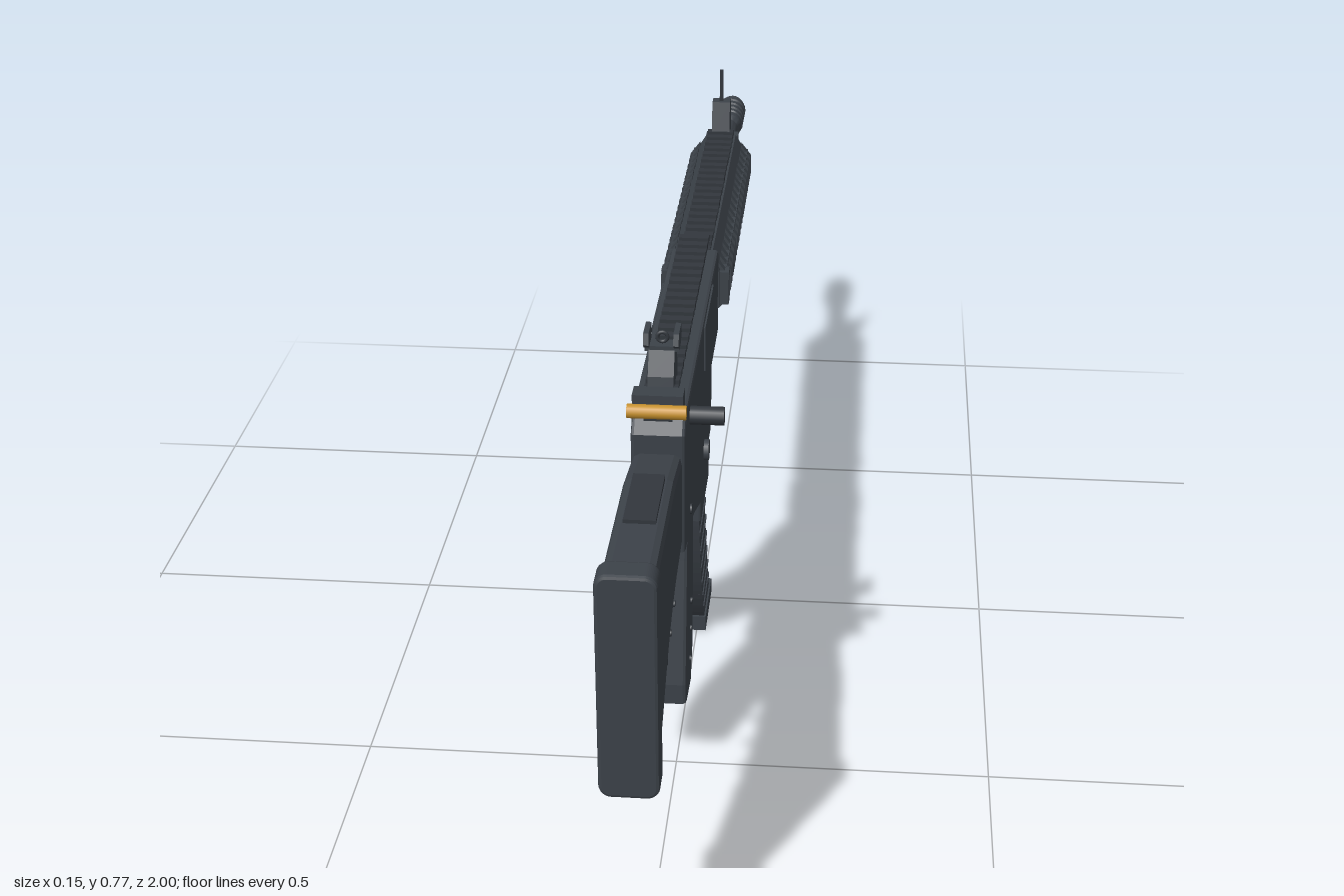
import * as THREE from 'three';
import { toCreasedNormals } from 'three/addons/utils/BufferGeometryUtils.js';

export function createModel() {
  const model = new THREE.Group();
  model.name = 'rifle';
  const body = new THREE.Group();
  body.name = 'rifleBody';
  body.position.x = -0.0165;
  model.add(body);

  const gunmetal = new THREE.MeshStandardMaterial({ color: 0x3c4249 });
  gunmetal.name = 'gunmetal';
  const black = new THREE.MeshStandardMaterial({ color: 0x32373d });
  black.name = 'darkSteel';
  const brass = new THREE.MeshStandardMaterial({ color: 0xc8922f });
  brass.name = 'brass';

  const add = (name, geo, mat = gunmetal, x = 0, y = 0, z = 0) => {
    const m = new THREE.Mesh(geo, mat);
    m.name = name;
    m.position.set(x, y, z);
    body.add(m);
    return m;
  };
  const box = (name, w, h, d, x, y, z, mat) => add(name, new THREE.BoxGeometry(w, h, d), mat, x, y, z);
  const toShape = (pts) => new THREE.Shape(pts.map(([z, y]) => new THREE.Vector2(z, y)));
  // Side profile given as (z, y), extruded across x
  const slab = (name, shape, width, bevel = 0, x = 0, mat = gunmetal) => {
    const depth = width - 2 * bevel;
    const geo = new THREE.ExtrudeGeometry(Array.isArray(shape) ? toShape(shape) : shape, {
      depth, bevelEnabled: bevel > 0, bevelSize: bevel, bevelThickness: bevel,
      bevelOffset: -bevel, bevelSegments: 2, curveSegments: 10,
    });
    geo.translate(0, 0, -depth / 2);
    geo.rotateY(-Math.PI / 2);
    return add(name, geo, mat, x);
  };
  // Cylinder lying across x
  const pin = (name, r, len, x, y, z, mat = gunmetal, sides = 16) =>
    add(name, new THREE.CylinderGeometry(r, r, len, sides).rotateZ(Math.PI / 2), mat, x, y, z);

  // Turned part along the barrel, profile as (radius, distance forward)
  const turned = (name, pts, y, mat) => add(name, toCreasedNormals(
    new THREE.LatheGeometry(pts.map(([r, d]) => new THREE.Vector2(r, d)), 20).rotateX(-Math.PI / 2), 0.6), mat, 0, y, 0);

  // Stock
  const stock = new THREE.Shape();
  stock.moveTo(0.965, 0.635);
  stock.lineTo(0.81, 0.632);
  stock.lineTo(0.70, 0.63);
  stock.lineTo(0.59, 0.61);
  stock.lineTo(0.59, 0.465);
  stock.lineTo(0.69, 0.455);
  stock.quadraticCurveTo(0.79, 0.44, 0.885, 0.365);
  stock.lineTo(0.965, 0.318);
  slab('stock', stock, 0.074, 0.012);
  box('stockNeck', 0.06, 0.10, 0.05, 0, 0.53, 0.585);
  box('cheekPlate', 0.045, 0.008, 0.13, 0, 0.634, 0.765, black);
  [[0.85, 0.38], [0.79, 0.385], [0.73, 0.395], [0.675, 0.41]].forEach(([z, y]) =>
    pin('stockPin', 0.005, 0.066, 0, y, z, black, 8));

  // Butt pad: rounded rectangle facing the rear
  const bw = 0.042, r = 0.018, lo = 0.302, hi = 0.652;
  const pad = new THREE.Shape();
  pad.absarc(bw - r, hi - r, r, 0, Math.PI / 2);
  pad.absarc(-bw + r, hi - r, r, Math.PI / 2, Math.PI);
  pad.absarc(-bw + r, lo + r, r, Math.PI, Math.PI * 1.5);
  pad.absarc(bw - r, lo + r, r, Math.PI * 1.5, Math.PI * 2);
  add('buttPad', new THREE.ExtrudeGeometry(pad, {
    depth: 0.032, bevelThickness: 0.005, bevelSize: 0.005, bevelOffset: -0.005, bevelSegments: 2, curveSegments: 6,
  }), gunmetal, 0, 0, 0.963);

  // Receiver
  slab('receiver', [
    [0.58, 0.44], [0.47, 0.43], [0.41, 0.41], [0.30, 0.365], [0.26, 0.36], [0.26, 0.395], [0.105, 0.395],
    [0.085, 0.41], [0.085, 0.505], [-0.065, 0.505], [-0.065, 0.655], [0.50, 0.66], [0.555, 0.66], [0.58, 0.635],
  ], 0.08, 0.005);
  slab('magazineWell', [[0.262, 0.31], [0.105, 0.31], [0.105, 0.36], [0.09, 0.41], [0.262, 0.41]], 0.074, 0.004);
  [-1, 1].forEach((s) => {
    box('sidePanel', 0.004, 0.075, 0.17, s * 0.0405, 0.615, 0.16);
    pin('receiverPin', 0.008, 0.004, s * 0.041, 0.47, 0.50, black);
  });
  pin('magazineButton', 0.017, 0.012, 0.042, 0.43, 0.235);
  pin('chargingHandle', 0.014, 0.06, 0.061, 0.627, 0.495, black);
  pin('selectorBase', 0.019, 0.01, -0.043, 0.47, 0.385);
  box('selectorLever', 0.008, 0.014, 0.055, -0.049, 0.47, 0.375, brass).rotation.x = 0.12;

  // Top rail with cross teeth
  box('topRail', 0.042, 0.022, 0.63, 0, 0.667, 0.26, black);
  for (let i = 0; i < 21; i++) box('railTooth', 0.05, 0.011, 0.017, 0, 0.682, 0.555 - i * 0.03, black);
  box('rearBracket', 0.074, 0.035, 0.03, 0, 0.682, 0.565);
  pin('crossPin', 0.0105, 0.086, 0, 0.68, 0.592, brass);

  // Rear sight
  slab('rearSightBase', [[0.535, 0.68], [0.465, 0.68], [0.47, 0.705], [0.488, 0.74], [0.512, 0.74], [0.53, 0.705]], 0.038);
  [-1, 1].forEach((s) =>
    slab('rearSightWing', [[0.51, 0.742], [0.49, 0.742], [0.474, 0.753], [0.48, 0.77], [0.52, 0.77], [0.526, 0.753]],
      0.008, 0, s * 0.022));
  box('rearSightBridge', 0.05, 0.008, 0.024, 0, 0.742, 0.50);
  add('rearAperture', new THREE.TorusGeometry(0.0075, 0.003, 8, 16), black, 0, 0.756, 0.50);

  // Handguard: octagonal core with ribbed rails on four sides
  const core = [[0.028, 0.537], [0.042, 0.555], [0.042, 0.62], [0.028, 0.642]];
  const oct = new THREE.Shape([...core, ...core.slice().reverse().map(([x, y]) => [-x, y])]
    .map(([x, y]) => new THREE.Vector2(x, y)));
  add('handguard', new THREE.ExtrudeGeometry(oct, { depth: 0.62, bevelEnabled: false }), gunmetal, 0, 0, -0.67);
  box('handguardTopRail', 0.036, 0.01, 0.61, 0, 0.643, -0.36, black);
  box('handguardBottomRail', 0.036, 0.008, 0.59, 0, 0.538, -0.36, black);
  const ribGeo = new THREE.ExtrudeGeometry(new THREE.Shape([
    [0.04, 0.545], [0.059, 0.567], [0.059, 0.605], [0.04, 0.63],
  ].map(([x, y]) => new THREE.Vector2(x, y))), { depth: 0.015, bevelEnabled: false });
  for (let i = 0; i < 20; i++) {
    const z = -0.075 - i * 0.0305;
    [0, 1].forEach((side) => {
      const rib = add('sideRailRib', ribGeo, gunmetal, 0, 0, side ? z + 0.0075 : z - 0.0075);
      if (side) rib.rotation.y = Math.PI;
    });
    box('topRailTooth', 0.05, 0.011, 0.016, 0, 0.65, z, black);
    box('bottomRailTooth', 0.05, 0.01, 0.016, 0, 0.534, z, black);
  }
  [-1, 1].forEach((s) => {
    [0.56, 0.611].forEach((y) => box('sideRailEdge', 0.013, 0.009, 0.6, s * 0.046, y, -0.365));
    box('handguardCollar', 0.02, 0.06, 0.025, s * 0.048, 0.586, -0.073);
  });

  // Barrel and muzzle brake
  box('gasBlock', 0.062, 0.088, 0.045, 0, 0.59, -0.688);
  turned('barrel', [[0.0195, 0.66], [0.0195, 0.88]], 0.587);
  const brake = [[0.0195, 0.86], [0.026, 0.87], [0.026, 0.888]];
  for (let i = 0; i < 4; i++) {
    const d = 0.89 + i * 0.023;
    brake.push([0.0285, d], [0.0285, d + 0.012], [0.024, d + 0.014], [0.024, d + 0.021]);
  }
  brake.push([0.026, 0.984], [0.021, 1], [0.01, 1], [0.01, 0.97], [0, 0.97]);
  turned('muzzleBrake', brake, 0.587);

  // Front sight
  slab('frontSightBase', [[-0.648, 0.63], [-0.702, 0.63], [-0.702, 0.65], [-0.688, 0.71], [-0.664, 0.71], [-0.648, 0.65]], 0.034);
  box('frontSightPost', 0.007, 0.066, 0.007, 0, 0.738, -0.676, black);

  // Pistol grip with side screws
  slab('grip', [[0.495, 0.45], [0.505, 0.38], [0.54, 0.175], [0.54, 0.14], [0.46, 0.13],
    [0.425, 0.185], [0.415, 0.31], [0.405, 0.43]], 0.074, 0.006);
  [[0.465, 0.285], [0.475, 0.24], [0.485, 0.19]].forEach(([z, y]) => pin('gripScrew', 0.005, 0.08, 0, y, z, black, 8));

  // Trigger guard and trigger
  slab('triggerGuard', [[0.412, 0.405], [0.408, 0.345], [0.345, 0.313], [0.295, 0.34], [0.295, 0.375],
    [0.312, 0.375], [0.345, 0.338], [0.39, 0.36], [0.395, 0.405]], 0.036);
  slab('trigger', [[0.37, 0.41], [0.335, 0.39], [0.332, 0.355], [0.346, 0.335], [0.352, 0.365]], 0.018, 0, 0, black);

  // Curved magazine with raised bands
  const back = new THREE.QuadraticBezierCurve(new THREE.Vector2(0.22, 0.33), new THREE.Vector2(0.19, 0.14), new THREE.Vector2(0.10, 0.02));
  const front = new THREE.QuadraticBezierCurve(new THREE.Vector2(0.107, 0.33), new THREE.Vector2(0.08, 0.16), new THREE.Vector2(-0.005, 0.02));
  slab('magazine', new THREE.Shape([...back.getPoints(12), ...front.getPoints(12).reverse()]), 0.059);
  for (let i = 1; i < 7; i++) {
    const t = 0.08 + i * 0.125;
    const at = (c, k) => c.getPoint(k).toArray();
    slab('magazineBand', [at(back, t), at(back, t + 0.025), at(front, t + 0.025), at(front, t)], 0.063);
  }
  box('magazineBase', 0.065, 0.028, 0.13, 0, 0.014, 0.045);
  return model;
}
